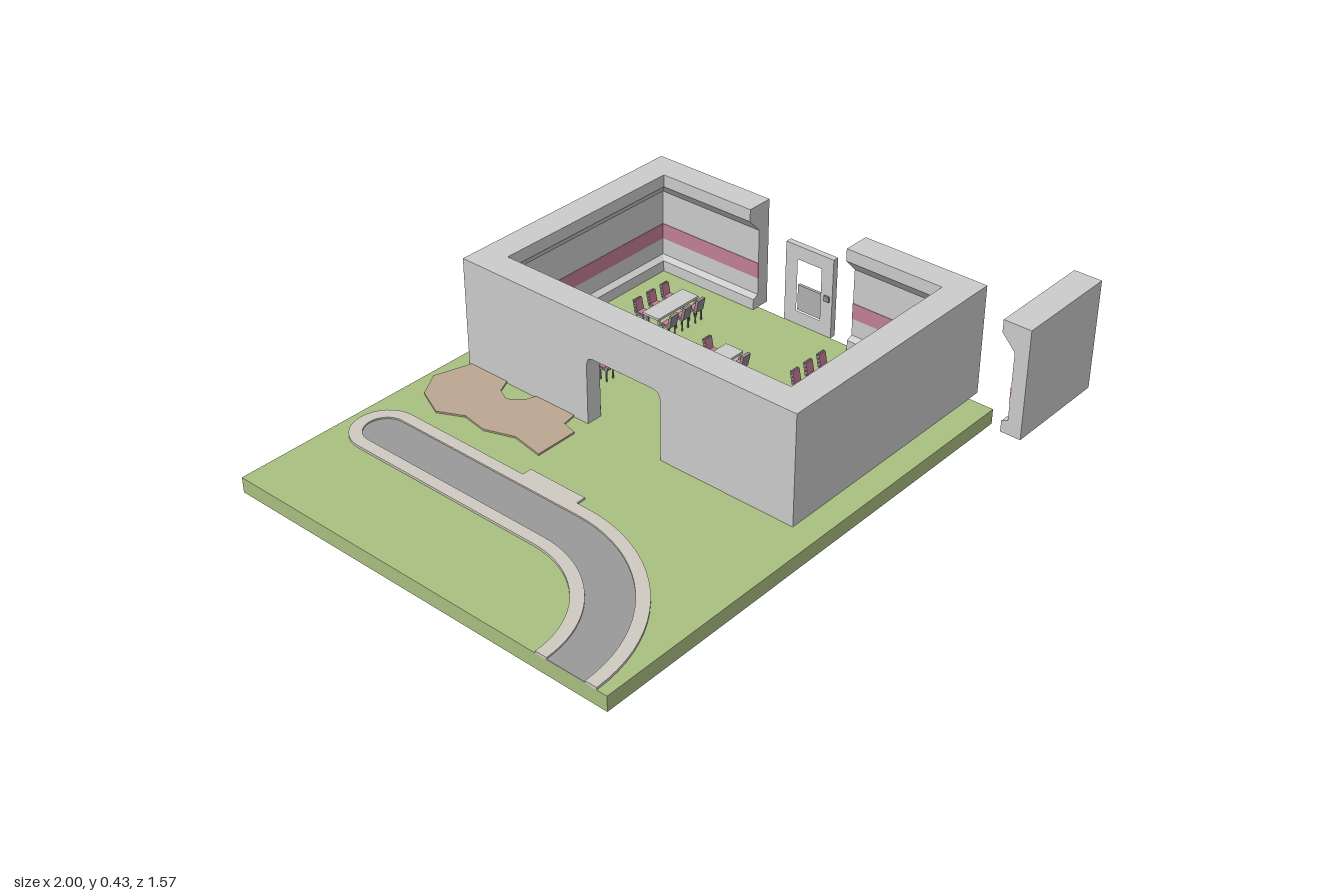
import * as THREE from 'three';

const mat = (color) => new THREE.MeshStandardMaterial({ color, flatShading: true });
const grey = mat(0xcccccc), green = mat(0xa9bf80), pink = mat(0xc27f95);
const asphalt = mat(0x999999), kerbMat = mat(0xcfcac0), soil = mat(0xbba791), dark = mat(0x8c8c8c);

const BASE = 0.052, TOP = 0.428;

function add(parent, name, geometry, material) {
  const mesh = new THREE.Mesh(geometry, material);
  mesh.name = name;
  parent.add(mesh);
  return mesh;
}

function box(parent, name, material, [x0, x1], [y0, y1], [z0, z1]) {
  const mesh = add(parent, name, new THREE.BoxGeometry(x1 - x0, y1 - y0, z1 - z0), material);
  mesh.position.set((x0 + x1) / 2, (y0 + y1) / 2, (z0 + z1) / 2);
  return mesh;
}

const toShape = (pts, flip) => new THREE.Shape(pts.map(([a, b]) => new THREE.Vector2(flip ? -a : a, flip ? b : -b)));

// Flat slab from an [x, z] outline
function slab(parent, name, material, pts, y0, y1) {
  const g = new THREE.ExtrudeGeometry(toShape(pts), { depth: y1 - y0, bevelEnabled: false });
  g.rotateX(-Math.PI / 2).translate(0, y0, 0);
  return add(parent, name, g, material);
}

// Upright plate from a [z, y] outline, with an optional hole, between x0 and x1
function plate(parent, name, material, pts, hole, x0, x1) {
  const s = toShape(pts, true);
  if (hole) s.holes.push(toShape(hole, true));
  const g = new THREE.ExtrudeGeometry(s, { depth: x1 - x0, bevelEnabled: false });
  g.rotateY(Math.PI / 2).translate(x0, 0, 0);
  return add(parent, name, g, material);
}

// Wall sections as [distance inward from the outer face, height]
const wallProfile = [[0, BASE], [0.07, BASE], [0.07, 0.09], [0.048, 0.1], [0.048, 0.335],
  [0.095, 0.385], [0.095, TOP], [0, TOP]];
const stripeProfile = [[0.044, 0.16], [0.0495, 0.16], [0.0495, 0.215], [0.044, 0.215]];
const lintelProfile = [[0, 0.3], ...wallProfile.slice(4)];
lintelProfile.splice(1, 1, [0.048, 0.3], [0.048, 0.335]);

// Sweep a section from a to b ([x, z] on the outer face), mitring the chosen ends
function sweep(parent, name, material, profile, a, b, mitreA, mitreB) {
  const dx = b[0] - a[0], dz = b[1] - a[1], len = Math.hypot(dx, dz);
  const g = new THREE.ExtrudeGeometry(toShape(profile.map(([d, y]) => [-d, y]), true), { depth: len, bevelEnabled: false });
  const p = g.attributes.position;
  for (let i = 0; i < p.count; i++) {
    if (p.getZ(i) < len / 2) { if (mitreA) p.setZ(i, p.getX(i)); }
    else if (mitreB) p.setZ(i, len - p.getX(i));
  }
  g.computeVertexNormals();
  g.rotateY(Math.atan2(dx, dz)).translate(a[0], 0, a[1]);
  return add(parent, name, g, material);
}

function wall(parent, name, a, b, mitreA, mitreB) {
  const group = new THREE.Group();
  group.name = name;
  sweep(group, 'wallSection', grey, wallProfile, a, b, mitreA, mitreB);
  sweep(group, 'wallStripe', pink, stripeProfile, a, b, mitreA, mitreB);
  parent.add(group);
}

// One edge of the lane at a given offset: rounded end, straight, then bend to the ground's edge
function lanePoints(offset, fromCap) {
  const pts = [], cx = -0.575, capZ = -0.648, bendZ = 0.068, R = 0.425;
  if (fromCap) for (let i = 0; i <= 16; i++) {
    const t = Math.PI * (1 + i / 16);
    pts.push([cx + offset * Math.cos(t), capZ + offset * Math.sin(t)]);
  }
  for (let i = 0; i <= 20; i++) {
    const t = (i / 20) * Math.PI / 2, r = R + offset;
    pts.push([-1 + r * Math.cos(t), bendZ + r * Math.sin(t)]);
  }
  return pts;
}
const laneOutline = (half) => [...lanePoints(half, true), ...lanePoints(-half, false).reverse()];

// Chair facing +z, origin on the floor
function chair() {
  const g = new THREE.Group();
  g.name = 'chair';
  box(g, 'seat', dark, [-0.017, 0.017], [0.038, 0.045], [-0.012, 0.02]);
  box(g, 'seatCushion', pink, [-0.016, 0.016], [0.045, 0.049], [-0.01, 0.019]);
  const back = new THREE.Group();
  back.name = 'backrest';
  box(back, 'backShell', dark, [-0.017, 0.017], [0, 0.046], [-0.006, 0]);
  box(back, 'backCushion', pink, [-0.016, 0.016], [0.006, 0.045], [0, 0.005]);
  back.position.set(0, 0.042, -0.01);
  back.rotation.x = -0.2;
  g.add(back);
  for (const x of [-0.014, 0.014]) for (const z of [-0.01, 0.016])
    box(g, 'chairLeg', dark, [x - 0.002, x + 0.002], [0, 0.038], [z - 0.002, z + 0.002]);
  return g;
}

function tableSet(x, z) {
  const g = new THREE.Group();
  g.name = 'tableSet';
  box(g, 'tableTop', grey, [-0.096, 0.096], [0.062, 0.07], [-0.034, 0.034]);
  for (const sx of [-1, 1]) for (const sz of [-1, 1])
    box(g, 'tableLeg', grey, [sx * 0.088 - 0.004, sx * 0.088 + 0.004], [0, 0.062], [sz * 0.027 - 0.004, sz * 0.027 + 0.004]);
  for (const cx of [-0.064, 0, 0.064]) for (const side of [-1, 1]) {
    const c = chair();
    c.position.set(cx, 0, side < 0 ? -0.065 : 0.051);
    if (side > 0) c.rotation.y = Math.PI;
    g.add(c);
  }
  g.position.set(x, BASE, z);
  return g;
}

export function createModel() {
  const model = new THREE.Group();
  model.name = 'buildingOnPlot';

  box(model, 'ground', green, [-1, 0.705], [0, BASE], [-0.785, 0.635]);

  // Lane with raised kerbs and a lay-by
  slab(model, 'laneSurface', asphalt, laneOutline(0.07), BASE - 0.002, BASE + 0.003);
  const outer = lanePoints(0.107, true), inner = lanePoints(0.067, true);
  const outerBack = lanePoints(-0.107, false), innerBack = lanePoints(-0.067, false);
  slab(model, 'kerb', kerbMat, [...outer, ...inner.reverse(), ...innerBack, ...outerBack.reverse()],
    BASE - 0.002, BASE + 0.008);
  box(model, 'layBy', kerbMat, [-0.475, -0.434], [BASE - 0.002, BASE + 0.007], [-0.185, 0.027]);

  // Bare earth beside the building
  slab(model, 'earthPatch', soil, [[-0.12, -0.71], [-0.275, -0.76], [-0.36, -0.71], [-0.406, -0.61], [-0.365, -0.525],
    [-0.38, -0.435], [-0.345, -0.335], [-0.365, -0.222], [-0.214, -0.222], [-0.2, -0.275], [-0.12, -0.29],
    [-0.12, -0.43], [-0.187, -0.455], [-0.22, -0.5], [-0.198, -0.545], [-0.12, -0.58]], BASE - 0.002, BASE + 0.006);

  // Walls, corner to corner
  const W = -0.15, E = 0.75, N = -0.73, S = 0.548;
  wall(model, 'backWall', [E, N], [W, N], true, true);
  wall(model, 'frontWall', [W, S], [E, S], true, true);
  wall(model, 'rightWallRear', [W, N], [W, -0.24], true, false);
  wall(model, 'rightWallFront', [W, 0.072], [W, S], false, true);
  sweep(model, 'rightWallLintel', grey, lintelProfile, [W, -0.24], [W, 0.072], false, false);
  wall(model, 'leftWallFront', [E, S], [E, 0.103], true, false);
  wall(model, 'leftWallRear', [E, -0.275], [E, N], false, true);

  // Wall panel standing apart from the building
  wall(model, 'detachedPanel', [0.62, 0.787], [0.996, 0.787], false, false);

  // Lining of the open doorway
  plate(model, 'doorwayLining', grey, [[-0.24, BASE], [-0.24, 0.3], [0.072, 0.3], [0.072, BASE], [0.06, BASE],
    [0.06, 0.26], [0.053, 0.28], [0.035, 0.287], [-0.203, 0.287], [-0.22, 0.28], [-0.227, 0.26], [-0.227, BASE]],
  null, W, W + 0.056);

  // Free-standing entrance door with a window above a recessed panel
  plate(model, 'door', grey, [[-0.167, BASE], [0.02, BASE], [0.02, 0.335], [-0.167, 0.335]],
    [[-0.12, 0.1], [-0.025, 0.1], [-0.025, 0.287], [-0.12, 0.287]], 0.705, 0.727);
  box(model, 'doorPanel', mat(0xb0b0b0), [0.711, 0.721], [0.1, 0.192], [-0.12, -0.025]);
  box(model, 'doorHandle', dark, [0.699, 0.705], [0.18, 0.2], [-0.01, 0.01]);

  // Tables with three chairs on each long side
  for (const [x, z] of [[0.133, -0.402], [0.445, -0.423], [0.283, -0.103], [0.133, 0.215], [0.445, 0.215]])
    model.add(tableSet(x, z));

  return model;
}
